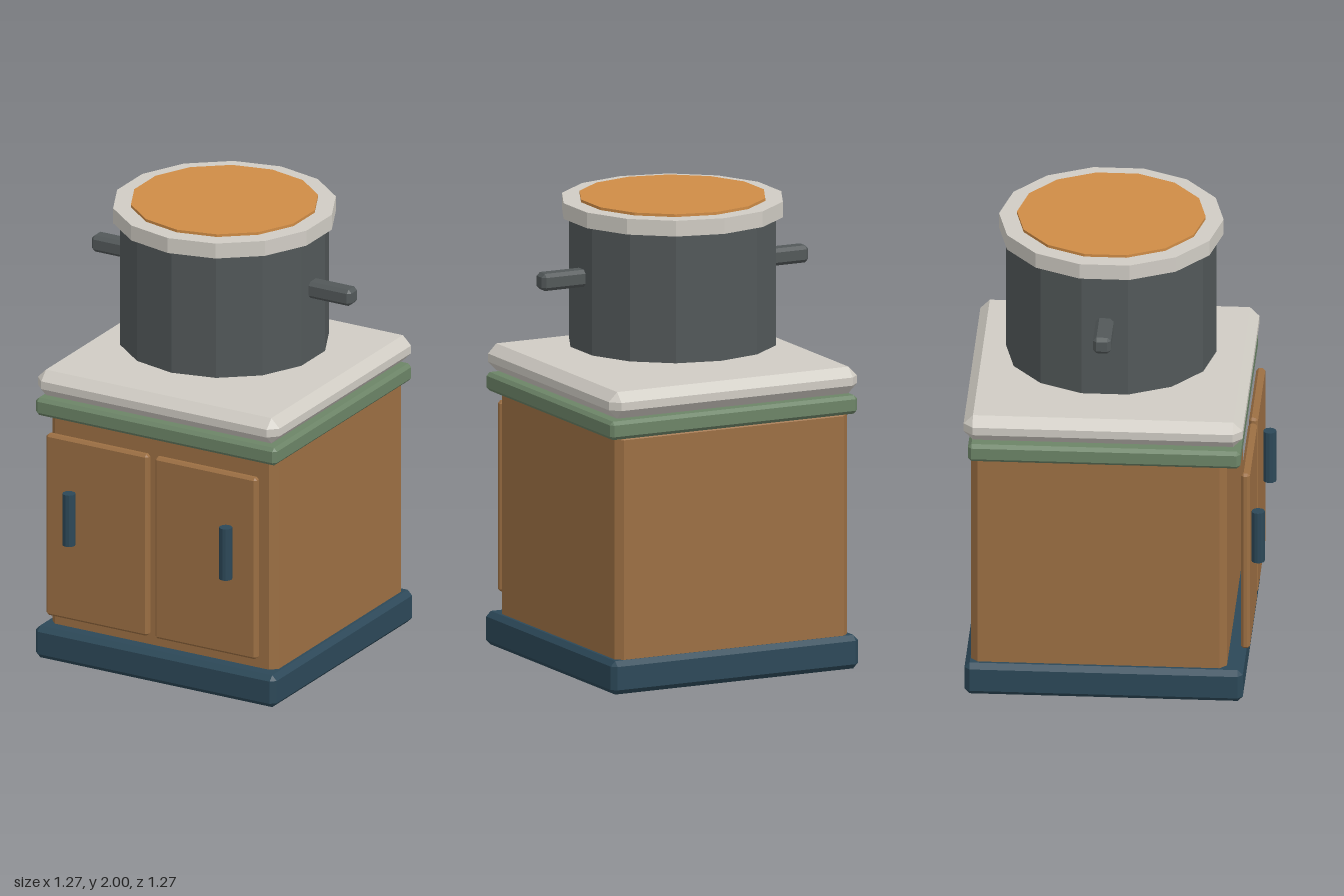
import * as THREE from 'three';
import { ConvexGeometry } from 'three/addons/geometries/ConvexGeometry.js';

const paint = (name, color) => {
  const m = new THREE.MeshStandardMaterial({ color });
  m.name = name;
  m.flatShading = true;
  return m;
};

// Box with every edge cut by a flat chamfer, given by its min and max corners
function chamferBox([x0, y0, z0], [x1, y1, z1], c) {
  const h = [(x1 - x0) / 2, (y1 - y0) / 2, (z1 - z0) / 2];
  const points = [];
  for (const sx of [-1, 1]) for (const sy of [-1, 1]) for (const sz of [-1, 1])
    for (let axis = 0; axis < 3; axis++) {
      const p = [sx, sy, sz].map((s, i) => s * (h[i] - (i === axis ? 0 : c)));
      points.push(new THREE.Vector3(...p));
    }
  return new ConvexGeometry(points).translate((x0 + x1) / 2, (y0 + y1) / 2, (z0 + z1) / 2);
}

// Upright faceted drum between two heights
function drum(radius, y0, y1, sides, x, z) {
  return new THREE.CylinderGeometry(radius, radius, y1 - y0, sides).translate(x, (y0 + y1) / 2, z);
}

export function createModel() {
  const wood = paint('brown wood', 0x9c6f43);
  const navy = paint('dark navy', 0x2c4858);
  const green = paint('sage green', 0x6c8467);
  const stone = paint('pale stone', 0xd0ccc4);
  const iron = paint('dark iron', 0x525859);
  const soup = paint('orange soup', 0xcf8c46);

  const model = new THREE.Group();
  model.name = 'cabinetWithPot';
  const add = (name, geometry, material, parent = model) => {
    const mesh = new THREE.Mesh(geometry, material);
    mesh.name = name;
    parent.add(mesh);
  };

  // Cabinet
  add('plinth', chamferBox([-0.59, 0, -0.63], [0.59, 0.145, 0.55], 0.022), navy);
  add('cabinetBody', chamferBox([-0.555, 0.11, -0.605], [0.555, 1.125, 0.48], 0.03), wood);
  add('trim', chamferBox([-0.59, 1.1, -0.615], [0.59, 1.18, 0.54], 0.015), green);
  add('countertop', chamferBox([-0.592, 1.19, -0.635], [0.592, 1.305, 0.548], 0.04), stone);

  // Doors with upright bar handles
  for (const side of [-1, 1]) {
    const name = side > 0 ? 'left' : 'right';
    const cx = side * 0.266;
    add(name + 'Door', chamferBox([cx - 0.249, 0.218, 0.538], [cx + 0.249, 1.043, 0.576], 0.011), wood);
    add(name + 'DoorHandle', drum(0.028, 0.574, 0.808, 12, side * 0.384, 0.603), navy);
  }

  // Cooking pot, fourteen-sided
  const pot = new THREE.Group();
  pot.name = 'pot';
  model.add(pot);
  const potZ = -0.044;
  add('potBody', drum(0.446, 1.365, 1.93, 14, 0, potZ), iron, pot);
  add('potRim', drum(0.476, 1.92, 1.988, 14, 0, potZ), stone, pot);
  add('potContents', drum(0.4, 1.95, 2, 14, 0, potZ), soup, pot);
  for (const side of [-1, 1]) {
    const xs = [side * 0.4, side * 0.636].sort((a, b) => a - b);
    add(side > 0 ? 'leftPotHandle' : 'rightPotHandle',
      chamferBox([xs[0], 1.648, potZ - 0.038], [xs[1], 1.722, potZ + 0.038], 0.015), iron, pot);
  }
  return model;
}
